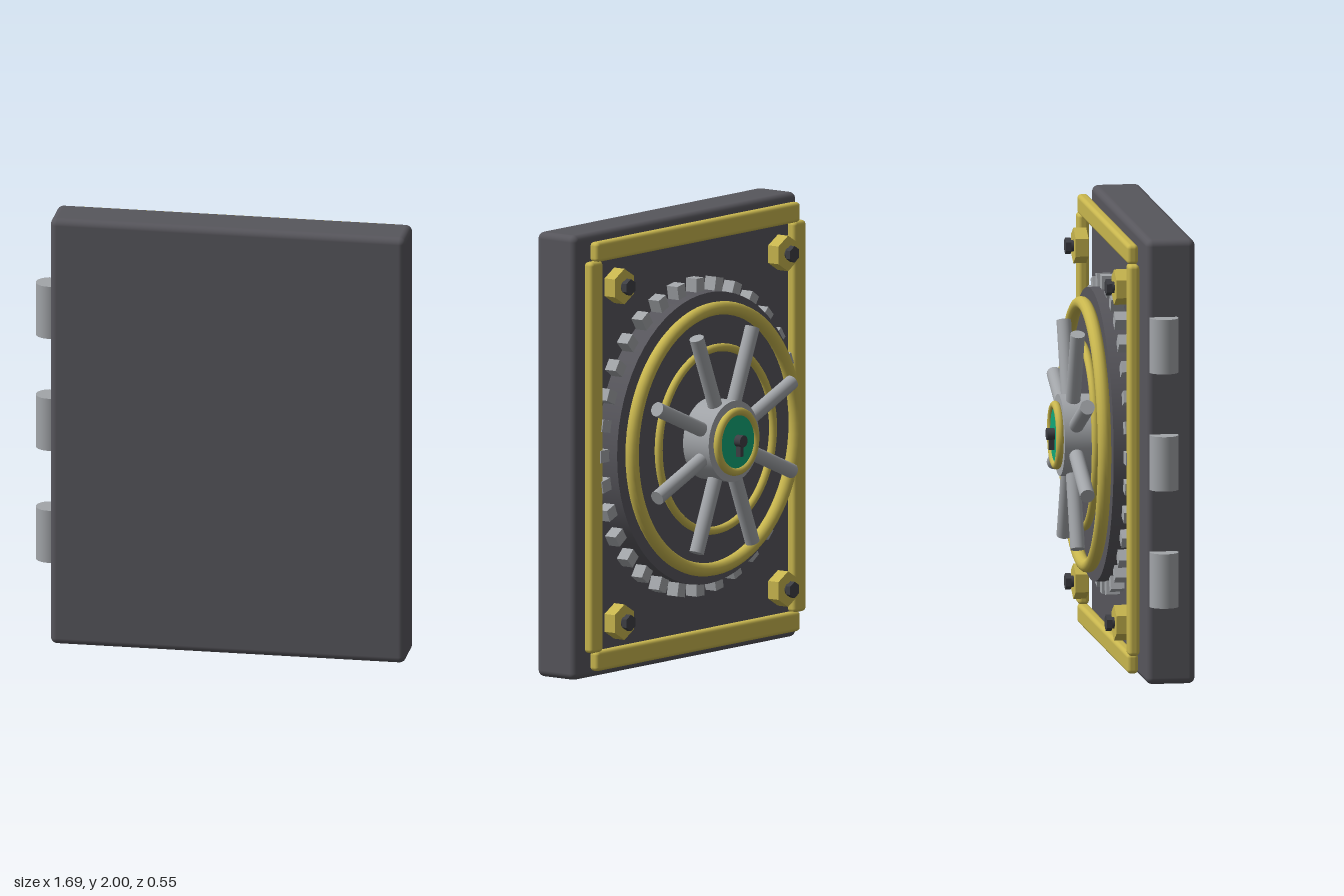
import * as THREE from 'three';
import { RoundedBoxGeometry } from 'three/addons/geometries/RoundedBoxGeometry.js';
import { toCreasedNormals } from 'three/addons/utils/BufferGeometryUtils.js';

const CX = 0.04, CY = 1.005; // centre of the door

function material(name, color) {
  const m = new THREE.MeshStandardMaterial({ color });
  m.name = name;
  return m;
}

export function createModel() {
  const iron = material('dark iron', 0x57565c);
  const black = material('black steel', 0x3e3f44);
  const gold = material('gold', 0xc8b64e);
  const steel = material('light steel', 0xa2a5a9);
  const green = material('green enamel', 0x12a878);

  const model = new THREE.Group();
  model.name = 'vaultDoor';

  const add = (name, geo, mat, x, y, z, parent = model) => {
    const mesh = new THREE.Mesh(geo, mat);
    mesh.name = name;
    mesh.position.set(x, y, z);
    parent.add(mesh);
    return mesh;
  };
  // round or polygonal plate facing z, between two depths
  const plate = (name, r, z0, z1, mat, x, y, sides = 64) => {
    let geo = new THREE.CylinderGeometry(r, r, z1 - z0, sides).rotateX(Math.PI / 2);
    if (sides < 8) geo = toCreasedNormals(geo, 0.5);
    return add(name, geo, mat, x, y, (z0 + z1) / 2);
  };
  const ring = (name, r, tube, z) =>
    add(name, new THREE.TorusGeometry(r, tube, 14, 72), gold, CX, CY, z);

  // door slab
  add('doorSlab', new RoundedBoxGeometry(1.6, 2, 0.22, 4, 0.03), iron, CX, 1, 0.16);

  // hinges on the right edge
  for (const y of [0.478, 1.005, 1.532])
    add('hinge', new THREE.CylinderGeometry(0.065, 0.065, 0.245, 24), steel, -0.782, y, 0.125);

  // gold frame and corner bolts
  for (const s of [-1, 1]) {
    add('frameRail', new RoundedBoxGeometry(1.46, 0.09, 0.05, 3, 0.018), gold, CX, CY + s * 0.92, 0);
    add('framePost', new RoundedBoxGeometry(0.085, 1.76, 0.05, 3, 0.018), gold, CX + s * 0.728, CY, 0);
    for (const t of [-1, 1]) {
      const x = CX + s * 0.587, y = CY + t * 0.755;
      plate('boltNut', 0.08, -0.063, -0.005, gold, x, y, 6);
      plate('boltStem', 0.026, -0.085, -0.06, black, x, y, 16);
      plate('boltHead', 0.037, -0.1, -0.075, black, x, y, 6);
    }
  }

  // round plate with a ring of teeth
  plate('wheelPlate', 0.655, -0.075, 0.035, iron, CX, CY);
  const TEETH = 32;
  for (let i = 0; i < TEETH; i++) {
    const a = (i / TEETH) * Math.PI * 2;
    const tooth = add('tooth', new THREE.BoxGeometry(0.07, 0.055, 0.06), steel,
      CX + Math.cos(a) * 0.68, CY + Math.sin(a) * 0.68, 0);
    tooth.rotation.z = a;
  }
  ring('outerRing', 0.585, 0.03, -0.105);
  ring('innerRing', 0.41, 0.018, -0.117);

  // spokes radiating from the hub
  for (let i = 0; i < 8; i++) {
    const a = ((i + 0.5) / 8) * Math.PI * 2;
    const spoke = add('spoke', new THREE.CylinderGeometry(0.033, 0.033, 0.423, 20), steel,
      CX + Math.cos(a) * 0.3115, CY + Math.sin(a) * 0.3115, -0.166);
    spoke.rotation.z = a - Math.PI / 2;
  }

  // hub, lock face and keyhole
  plate('hub', 0.182, -0.22, -0.07, steel, CX, CY);
  ring('lockRing', 0.135, 0.018, -0.234);
  plate('lockFace', 0.13, -0.24, -0.215, green, CX, CY);
  plate('keyholeTop', 0.027, -0.275, -0.235, black, CX, CY + 0.005, 20);
  add('keyholeSlot', new THREE.BoxGeometry(0.024, 0.075, 0.03), black, CX, CY - 0.028, -0.25);

  return model;
}
